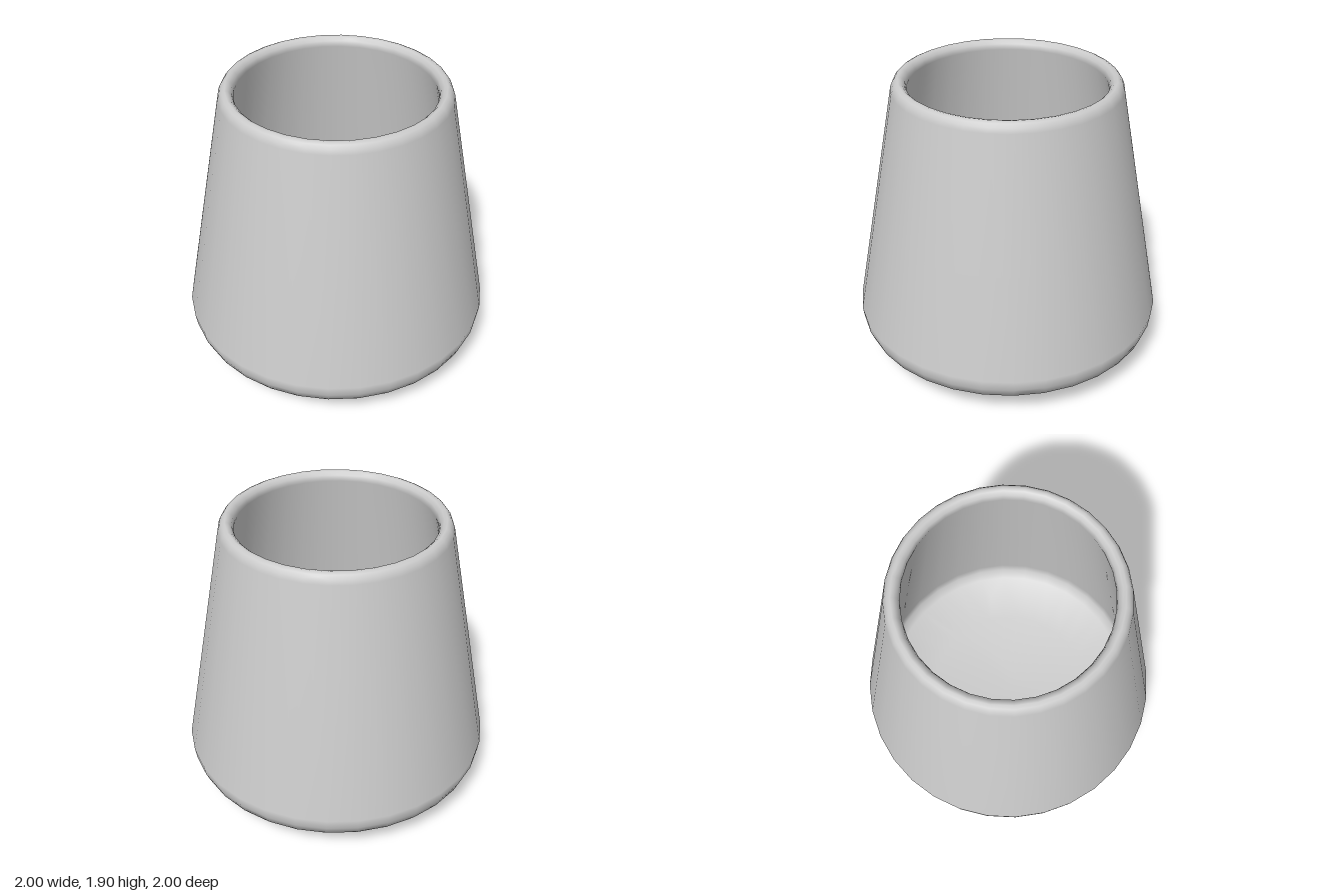
import * as THREE from 'three';

const material = new THREE.MeshStandardMaterial({ color: 0xcccccc });

// Half profile of the cup: base, outer wall, rounded rim, inner wall, floor
const profile = [
  [0, 0], [0.58, 0], [0.965, 0.2], [0.99, 0.26], [1, 0.33],
  [0.717, 1.84], [0.705, 1.87], [0.69, 1.89], [0.67, 1.9], [0.65, 1.895],
  [0.63, 1.875], [0.62, 1.84],
  [0.89, 0.36], [0.88, 0.3], [0.84, 0.24], [0.56, 0.1], [0, 0.1],
].map(([x, y]) => new THREE.Vector2(x, y));

// Upright cutting plane through two plan points; keeps the side holding 'inside'
function wall([x1, z1], [x2, z2], [xi, zi]) {
  const n = new THREE.Vector3(z1 - z2, 0, x2 - x1).normalize();
  const plane = new THREE.Plane().setFromNormalAndCoplanarPoint(n, new THREE.Vector3(x1, 0, z1));
  return plane.distanceToPoint(new THREE.Vector3(xi, 0, zi)) < 0 ? plane.negate() : plane;
}

// Part of a convex polygon on the positive side of a plane, normals interpolated
function clip(poly, plane) {
  const out = [];
  poly.forEach((a, i) => {
    const b = poly[(i + 1) % poly.length];
    const da = plane.distanceToPoint(a.p), db = plane.distanceToPoint(b.p);
    if (da >= 0) out.push(a);
    if ((da >= 0) !== (db >= 0)) {
      const t = da / (da - db);
      out.push({ p: a.p.clone().lerp(b.p, t), n: a.n.clone().lerp(b.n, t).normalize() });
    }
  });
  return out;
}

// Triangles of the whole cup as lists of corners
function cupTriangles() {
  const g = new THREE.LatheGeometry(profile, 32);
  const { position, normal } = g.attributes;
  const corner = (i) => ({
    p: new THREE.Vector3().fromBufferAttribute(position, i),
    n: new THREE.Vector3().fromBufferAttribute(normal, i),
  });
  const tris = [];
  for (let i = 0; i < g.index.count; i += 3) {
    tris.push([0, 1, 2].map((k) => corner(g.index.getX(i + k))));
  }
  return tris;
}

// One shard: the cup's surface inside a set of cutting planes
function shard(name, tris, planes) {
  const pos = [], nor = [];
  for (const tri of tris) {
    const poly = planes.reduce(clip, tri);
    for (let i = 1; i + 1 < poly.length; i++) {
      for (const v of [poly[0], poly[i], poly[i + 1]]) {
        pos.push(...v.p.toArray());
        nor.push(...v.n.toArray());
      }
    }
  }
  const g = new THREE.BufferGeometry();
  g.setAttribute('position', new THREE.Float32BufferAttribute(pos, 3));
  g.setAttribute('normal', new THREE.Float32BufferAttribute(nor, 3));
  const mesh = new THREE.Mesh(g, material);
  mesh.name = name;
  return mesh;
}

export function createModel() {
  const group = new THREE.Group();
  group.name = 'crackedCup';
  const tris = cupTriangles();

  const above = new THREE.Plane(new THREE.Vector3(0, 1, 0), -1.0);
  const below = above.clone().negate();

  // Upper half: one crack across the cup
  const upper = [[0.24, 0.7], [-0.33, -0.6]];
  group.add(shard('upperLeftShard', tris, [above, wall(...upper, [1, 0])]));
  group.add(shard('upperRightShard', tris, [above, wall(...upper, [-1, 0])]));

  // Lower half: cracks meeting at two points on the floor
  const A = [0.15, -0.32], B = [0.1, 0.38];
  const cracks = {
    front: [B, [0.27, 0.95]],
    middle: [A, B],
    side: [B, [-0.8, -0.6]],
    back: [A, [-0.1, -1]],
    corner: [A, [0.65, -0.76]],
  };
  const lower = [
    ['lowerLeftShard', [0.6, 0.1], ['front', 'middle', 'corner']],
    ['lowerRightShard', [-0.5, 0.4], ['front', 'side']],
    ['lowerBackShard', [-0.2, -0.4], ['middle', 'side', 'back']],
    ['lowerBackLeftShard', [0.25, -0.7], ['back', 'corner']],
  ];
  for (const [name, inside, sides] of lower) {
    group.add(shard(name, tris, [below, ...sides.map((s) => wall(...cracks[s], inside))]));
  }
  return group;
}
